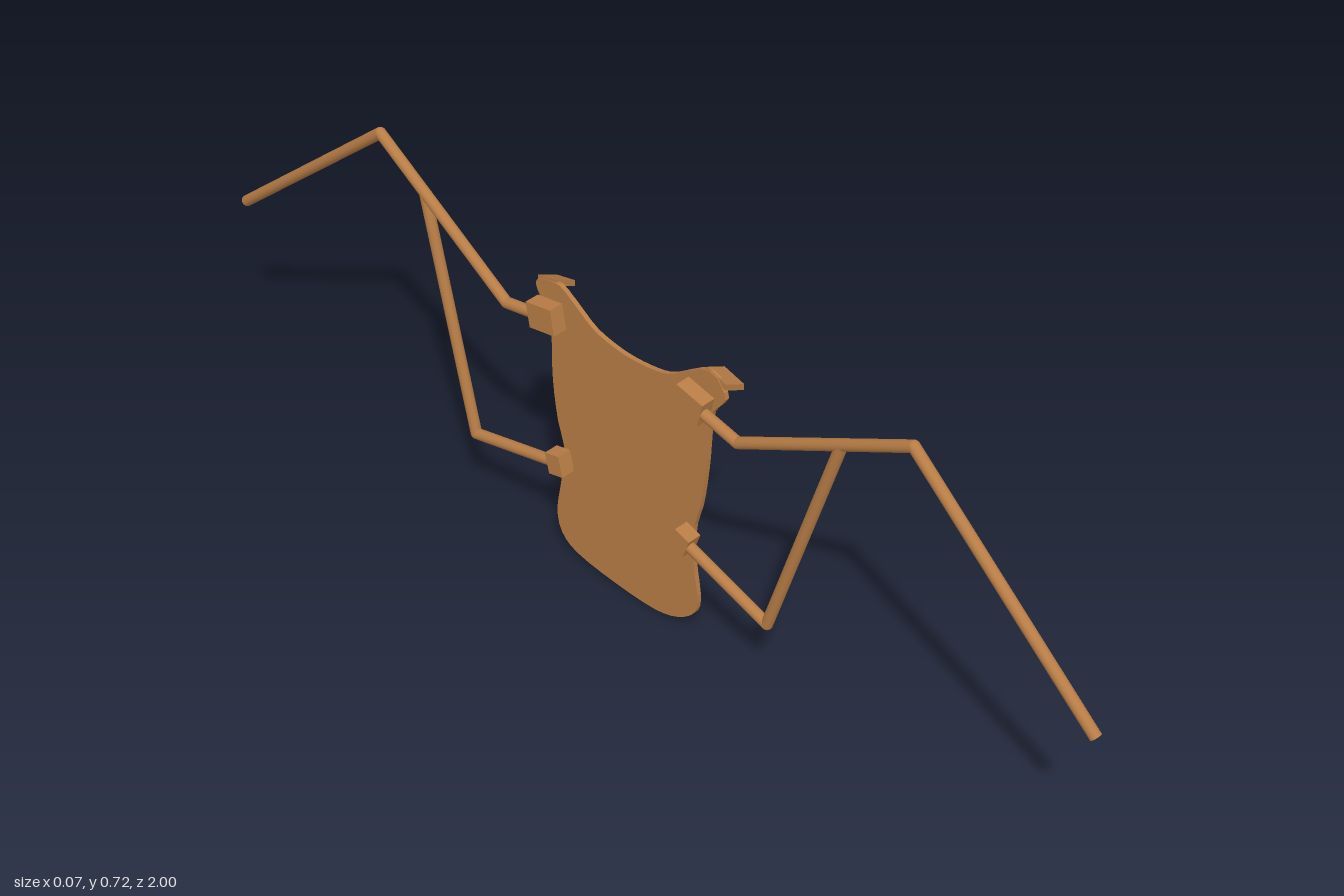
import * as THREE from 'three';

const R = 0.0105;      // rod radius
const ROD_X = -0.027;  // plane of the rod frame

export function createModel() {
  const group = new THREE.Group();
  const bronze = new THREE.MeshStandardMaterial({ color: 0xb87d46 });
  bronze.name = 'bronze';

  function add(parent, geometry, name) {
    const mesh = new THREE.Mesh(geometry, bronze);
    mesh.name = name;
    parent.add(mesh);
    return mesh;
  }

  // Chain of straight rods through [z, y] points, with rounded joints
  function rods(parent, points, name) {
    const chain = new THREE.Group();
    chain.name = name;
    parent.add(chain);
    const pts = points.map(([z, y]) => new THREE.Vector3(ROD_X, y, z));
    for (let i = 0; i < pts.length - 1; i++) {
      const dir = pts[i + 1].clone().sub(pts[i]);
      const rod = add(chain, new THREE.CylinderGeometry(R, R, dir.length(), 16), name + 'Rod');
      rod.position.copy(pts[i]).addScaledVector(dir, 0.5);
      rod.quaternion.setFromUnitVectors(new THREE.Vector3(0, 1, 0), dir.normalize());
      if (i > 0) add(chain, new THREE.SphereGeometry(R, 16, 10), name + 'Joint').position.copy(pts[i]);
    }
  }

  // Block that clamps a rod to the back of the plate
  function bracket(parent, z, y, length, height, tilt, name) {
    const mesh = add(parent, new THREE.BoxGeometry(0.029, height, length), name);
    mesh.position.set(-0.0235, y, z);
    mesh.rotation.x = tilt;
  }

  // Back plate: closed outline in (z, y), extruded along x
  const outline = [
    [0.187, 0.578], [0.16, 0.583], [0.125, 0.562], [0.08, 0.532], [0.035, 0.521], [-0.016, 0.518],
    [-0.06, 0.523], [-0.10, 0.535], [-0.145, 0.565], [-0.18, 0.584], [-0.225, 0.575], [-0.233, 0.555],
    [-0.212, 0.522], [-0.199, 0.481], [-0.198, 0.385], [-0.188, 0.30], [-0.172, 0.235],
    [-0.182, 0.16], [-0.193, 0.09], [-0.18, 0.043], [-0.139, 0.018], [-0.043, 0.005],
    [0.048, 0.003], [0.102, 0.018], [0.142, 0.05], [0.15, 0.09], [0.14, 0.16],
    [0.139, 0.235], [0.155, 0.30], [0.166, 0.385], [0.171, 0.46], [0.178, 0.505], [0.205, 0.545]
  ].map(([z, y]) => new THREE.Vector2(-z, y));
  const curve = new THREE.SplineCurve([...outline, outline[0]]);
  const plateGeo = new THREE.ExtrudeGeometry(new THREE.Shape(curve.getPoints(96).slice(0, -1)), {
    depth: 0.009, bevelEnabled: false
  });
  plateGeo.rotateY(Math.PI / 2);
  add(group, plateGeo, 'backPlate').position.x = -0.009;

  // Hooked lips at the shoulders, sheared down towards the front and outwards
  for (const [z, y, slant] of [[0.182, 0.575, -0.3], [-0.208, 0.579, 0.22]]) {
    const geo = new THREE.BoxGeometry(0.044, 0.012, 0.044);
    const p = geo.attributes.position;
    for (let i = 0; i < p.count; i++) {
      p.setY(i, p.getY(i) - 0.5 * (p.getX(i) + 0.022) + slant * p.getZ(i));
    }
    geo.computeVertexNormals();
    add(group, geo, 'shoulderLip').position.set(0.0145, y, z);
  }

  // Front wing frame
  const front = new THREE.Group();
  front.name = 'frontWing';
  group.add(front);
  rods(front, [[0.993, 0.332], [0.608, 0.68], [0.25, 0.492], [0.13, 0.522]], 'upperArm');
  rods(front, [[0.468, 0.607], [0.326, 0.15], [0.125, 0.222]], 'lowerBrace');
  bracket(front, 0.146, 0.518, 0.06, 0.05, 0.24, 'upperBracket');
  bracket(front, 0.132, 0.219, 0.034, 0.042, 0.34, 'lowerBracket');

  // Rear wing frame, raised a little higher
  const rear = new THREE.Group();
  rear.name = 'rearWing';
  group.add(rear);
  rods(rear, [[-0.993, 0.387], [-0.596, 0.709], [-0.289, 0.503], [-0.18, 0.522]], 'upperArm');
  rods(rear, [[-0.487, 0.635], [-0.38, 0.171], [-0.16, 0.222]], 'lowerBrace');
  bracket(rear, -0.196, 0.52, 0.06, 0.05, -0.17, 'upperBracket');
  bracket(rear, -0.17, 0.22, 0.034, 0.042, -0.23, 'lowerBracket');

  return group;
}
